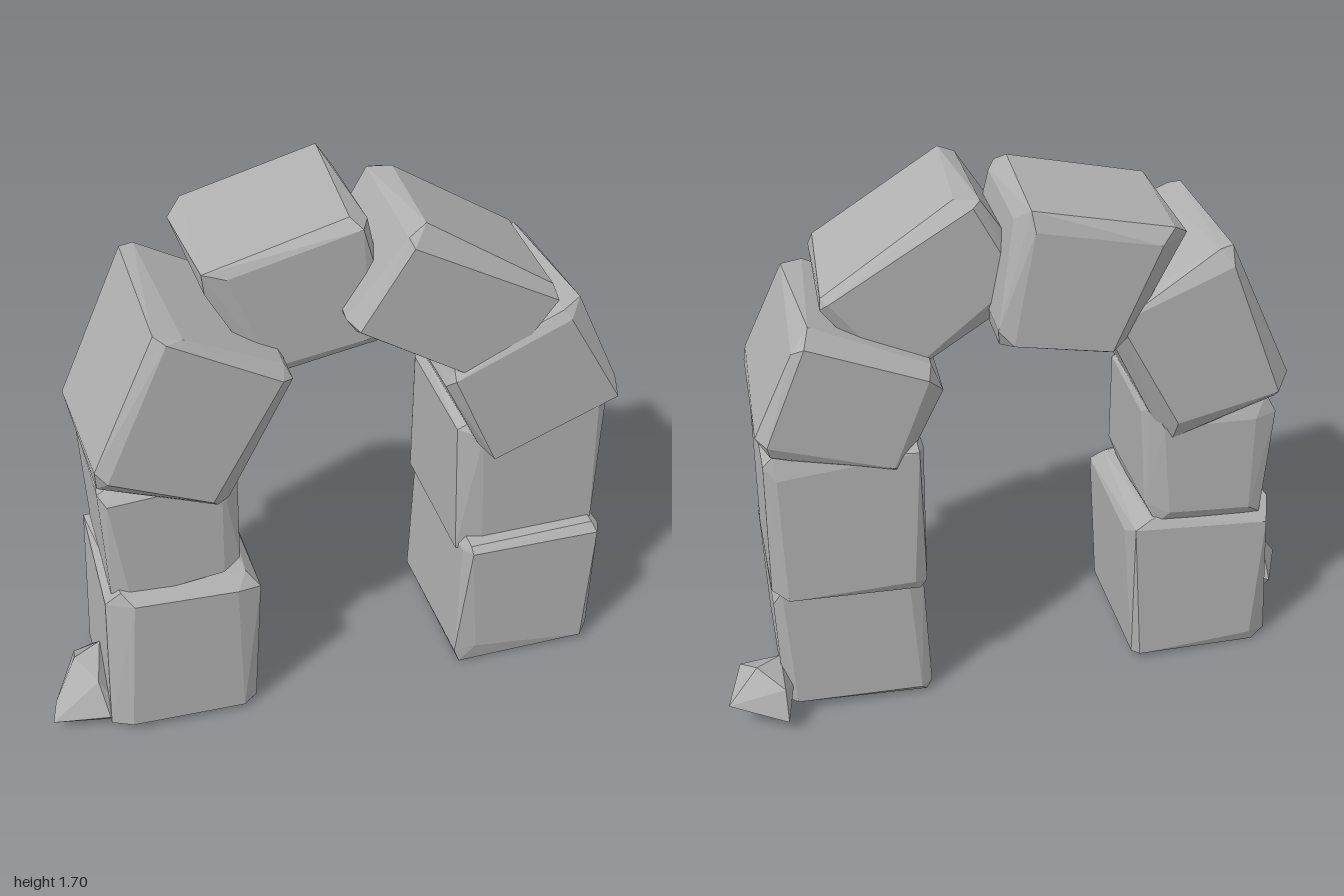
import * as THREE from 'three';
import { ConvexGeometry } from 'three/addons/geometries/ConvexGeometry.js';

const stone = new THREE.MeshStandardMaterial({ color: 0xb0b0b0 });
stone.name = 'stone grey';

// Small seeded generator for the irregular chipped corners
function seeded(seed) {
  return () => {
    seed = (seed * 16807) % 2147483647;
    return seed / 2147483647;
  };
}

// Hewn block: a front quad (bottom left, bottom right, top right, top left)
// stretched from zBack to zFront, with every corner chipped unevenly
function block(name, [bl, br, tr, tl], zBack, zFront, seed) {
  const rand = seeded(seed * 7919 + 13);
  const chip = () => 0.018 + 0.065 * rand() ** 2;
  const w = Math.hypot(br[0] - bl[0], br[1] - bl[1]);
  const h = Math.hypot(tl[0] - bl[0], tl[1] - bl[1]);
  const place = (u, v, z) => {
    const mix = (i) => (1 - v) * ((1 - u) * bl[i] + u * br[i]) + v * ((1 - u) * tl[i] + u * tr[i]);
    return new THREE.Vector3(mix(0), mix(1), z);
  };
  const points = [];
  for (const u of [0, 1]) for (const v of [0, 1]) for (const z of [zBack, zFront]) {
    // one point on each of the three faces meeting at this corner
    for (let face = 0; face < 3; face++) {
      const du = face === 0 ? 0 : chip() / w;
      const dv = face === 1 ? 0 : chip() / h;
      const dz = face === 2 ? 0 : chip();
      points.push(place(u ? 1 - du : du, v ? 1 - dv : dv, z === zBack ? z + dz : z - dz));
    }
  }
  return hull(name, points);
}

function hull(name, points) {
  const mesh = new THREE.Mesh(new ConvexGeometry(points), stone);
  mesh.name = name;
  return mesh;
}

const pebble = (name, list) => hull(name, list.map((p) => new THREE.Vector3(...p)));

export function createModel() {
  const arch = new THREE.Group();
  arch.name = 'stoneArch';

  arch.add(
    // Pillar on the -x side
    block('rightBaseStone', [[-0.82, 0], [-0.34, 0], [-0.31, 0.55], [-0.79, 0.58]], -0.22, 0.29, 3),
    block('rightPillarStone', [[-0.77, 0.53], [-0.37, 0.53], [-0.35, 0.97], [-0.78, 0.97]], -0.22, 0.25, 5),
    block('rightShoulderStone', [[-0.82, 1.01], [-0.41, 0.86], [-0.19, 1.31], [-0.58, 1.52]], -0.26, 0.31, 8),

    // Crown
    block('crownStone', [[-0.25, 1.22], [0.14, 1.29], [0.06, 1.71], [-0.45, 1.59]], -0.31, 0.18, 11),
    block('leftCrownStone', [[-0.04, 1.4], [0.41, 1.12], [0.63, 1.42], [0.17, 1.72]], -0.17, 0.29, 14),

    // Pillar on the +x side
    block('leftShoulderStone', [[0.42, 0.84], [0.85, 1.01], [0.68, 1.39], [0.25, 1.19]], -0.26, 0.3, 17),
    block('leftPillarStone', [[0.35, 0.44], [0.83, 0.44], [0.82, 0.98], [0.34, 0.97]], -0.25, 0.25, 21),
    block('leftBaseStone', [[0.34, 0], [0.82, 0], [0.83, 0.51], [0.36, 0.51]], -0.22, 0.31, 24),

    // Loose rubble beside the feet
    pebble('leftRubble', [
      [1, 0.11, -0.27], [0.9, 0.19, -0.2], [0.82, 0.17, -0.13], [0.82, 0.15, -0.28],
      [0.82, 0.05, -0.32], [0.96, 0.07, -0.1], [0.88, 0.1, -0.06], [0.91, 0.02, -0.22],
      [0.8, 0.02, -0.1], [0.95, 0.15, -0.12], [0.79, 0.1, -0.2],
    ]),
    pebble('rightRubble', [
      [-1, 0.04, 0.21], [-0.98, 0.08, 0.16], [-0.9, 0.2, 0.1], [-0.81, 0.21, 0.06],
      [-0.89, 0.1, -0.03], [-0.82, 0.13, -0.02], [-0.82, 0.05, 0.25], [-0.76, 0.01, 0.23],
      [-0.88, 0.02, 0.03], [-0.76, 0.1, 0.1], [-0.84, 0.16, 0.19],
    ]),
  );
  return arch;
}
